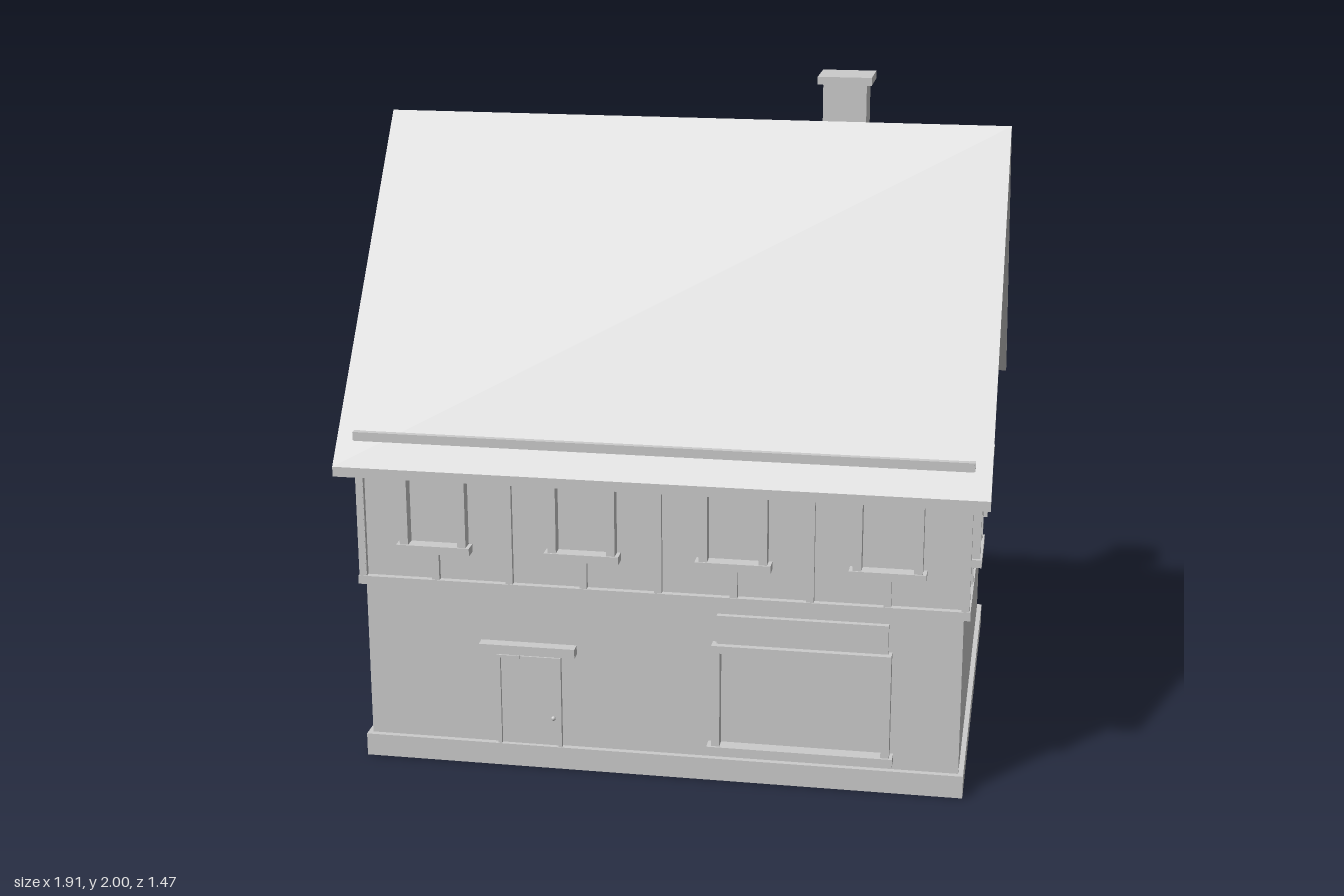
import * as THREE from 'three';

export function createModel() {
  const house = new THREE.Group();
  house.name = 'timberHouse';
  const plaster = new THREE.MeshStandardMaterial({ color: 0xcccccc });
  plaster.name = 'pale grey';

  // Box given by its minimum and maximum corners
  function box(parent, name, x0, x1, y0, y1, z0, z1) {
    const mesh = new THREE.Mesh(new THREE.BoxGeometry(x1 - x0, y1 - y0, z1 - z0), plaster);
    mesh.position.set((x0 + x1) / 2, (y0 + y1) / 2, (z0 + z1) / 2);
    mesh.name = name;
    parent.add(mesh);
    return mesh;
  }

  // Outline in (z, y) extruded along x
  function prismAlongX(name, points, halfLength) {
    const shape = new THREE.Shape(points.map(([z, y]) => new THREE.Vector2(-z, y)));
    const geometry = new THREE.ExtrudeGeometry(shape, { depth: halfLength * 2, bevelEnabled: false });
    geometry.translate(0, 0, -halfLength);
    geometry.rotateY(Math.PI / 2);
    const mesh = new THREE.Mesh(geometry, plaster);
    mesh.name = name;
    house.add(mesh);
  }

  // Plinth and wall block
  box(house, 'plinth', -0.905, 0.905, 0, 0.07, -0.682, 0.682);
  box(house, 'walls', -0.89, 0.89, 0.07, 1.0, -0.665, 0.665);

  // Attic with gable ends, and the roof shell over it
  prismAlongX('atticGables', [[-0.665, 0.98], [0.665, 0.98], [0, 1.842]], 0.89);
  prismAlongX('roof', [
    [0.735, 0.942], [0, 1.875], [-0.735, 0.942],
    [-0.735, 0.912], [0, 1.842], [0.735, 0.912],
  ], 0.956);

  // Timber framing of one upper wall; local +z points outwards
  const bay = 0.447;
  function timberWall(name, bays, wall, angle) {
    const side = new THREE.Group();
    side.name = name;
    side.rotation.y = angle;
    const half = bays * bay / 2 + 0.011;
    const face = wall + 0.016;
    box(side, 'lowerRail', -half - 0.002, half + 0.002, 0.56, 0.586, wall - 0.005, face + 0.003);
    box(side, 'upperRail', -half, half, 1.006, 1.035, wall, face + 0.002);
    for (let i = 0; i <= bays; i++) {
      const x = (i - bays / 2) * bay;
      box(side, 'post', x - 0.011, x + 0.011, 0.586, 1.006, wall - 0.005, face);
    }
    for (let i = 0; i < bays; i++) {
      const x = (i + 0.5 - bays / 2) * bay;
      const front = wall + 0.037;
      box(side, 'studBelow', x - 0.011, x + 0.011, 0.586, 0.676, wall - 0.005, face);
      box(side, 'studAbove', x - 0.011, x + 0.011, 0.965, 1.006, wall - 0.005, face);
      box(side, 'windowSill', x - 0.111, x + 0.111, 0.676, 0.7, wall - 0.005, front + 0.005);
      box(side, 'windowHead', x - 0.1, x + 0.1, 0.94, 0.965, wall - 0.005, front);
      for (const s of [-1, 1]) {
        box(side, 'windowJamb', x + s * 0.0875 - 0.0125, x + s * 0.0875 + 0.0125, 0.7, 0.94, wall - 0.005, front);
      }
    }
    house.add(side);
  }
  timberWall('frontTimbers', 4, 0.665, 0);
  timberWall('leftTimbers', 3, 0.89, Math.PI / 2);
  timberWall('backTimbers', 4, 0.665, Math.PI);
  timberWall('rightTimbers', 3, 0.89, -Math.PI / 2);

  // Front door with canopy
  const door = new THREE.Group();
  door.name = 'door';
  box(door, 'doorLeaf', -0.481, -0.307, 0.07, 0.35, 0.66, 0.669);
  box(door, 'doorJamb', -0.492, -0.481, 0.07, 0.358, 0.66, 0.68);
  box(door, 'doorJamb', -0.307, -0.296, 0.07, 0.358, 0.66, 0.68);
  box(door, 'doorHead', -0.481, -0.307, 0.349, 0.358, 0.66, 0.68);
  box(door, 'doorCloser', -0.44, -0.42, 0.349, 0.36, 0.665, 0.683);
  box(door, 'canopy', -0.54, -0.249, 0.369, 0.398, 0.66, 0.7);
  const knob = new THREE.Mesh(new THREE.SphereGeometry(0.007, 10, 8), plaster);
  knob.name = 'doorKnob';
  knob.position.set(-0.322, 0.16, 0.674);
  door.add(knob);
  house.add(door);

  // Shop window with sill and sign board
  const shop = new THREE.Group();
  shop.name = 'shopWindow';
  box(shop, 'shopSill', 0.148, 0.698, 0.095, 0.12, 0.66, 0.708);
  box(shop, 'shopJamb', 0.161, 0.186, 0.12, 0.44, 0.66, 0.701);
  box(shop, 'shopJamb', 0.663, 0.688, 0.12, 0.44, 0.66, 0.701);
  box(shop, 'shopHead', 0.186, 0.663, 0.417, 0.44, 0.66, 0.701);
  box(shop, 'signBoard', 0.174, 0.677, 0.44, 0.528, 0.66, 0.682);
  house.add(shop);

  // Chimney behind the ridge
  box(house, 'chimney', 0.381, 0.514, 1.5, 1.978, -0.205, -0.076);
  box(house, 'chimneyCap', 0.365, 0.53, 1.976, 2.0, -0.22, -0.061);

  return house;
}
